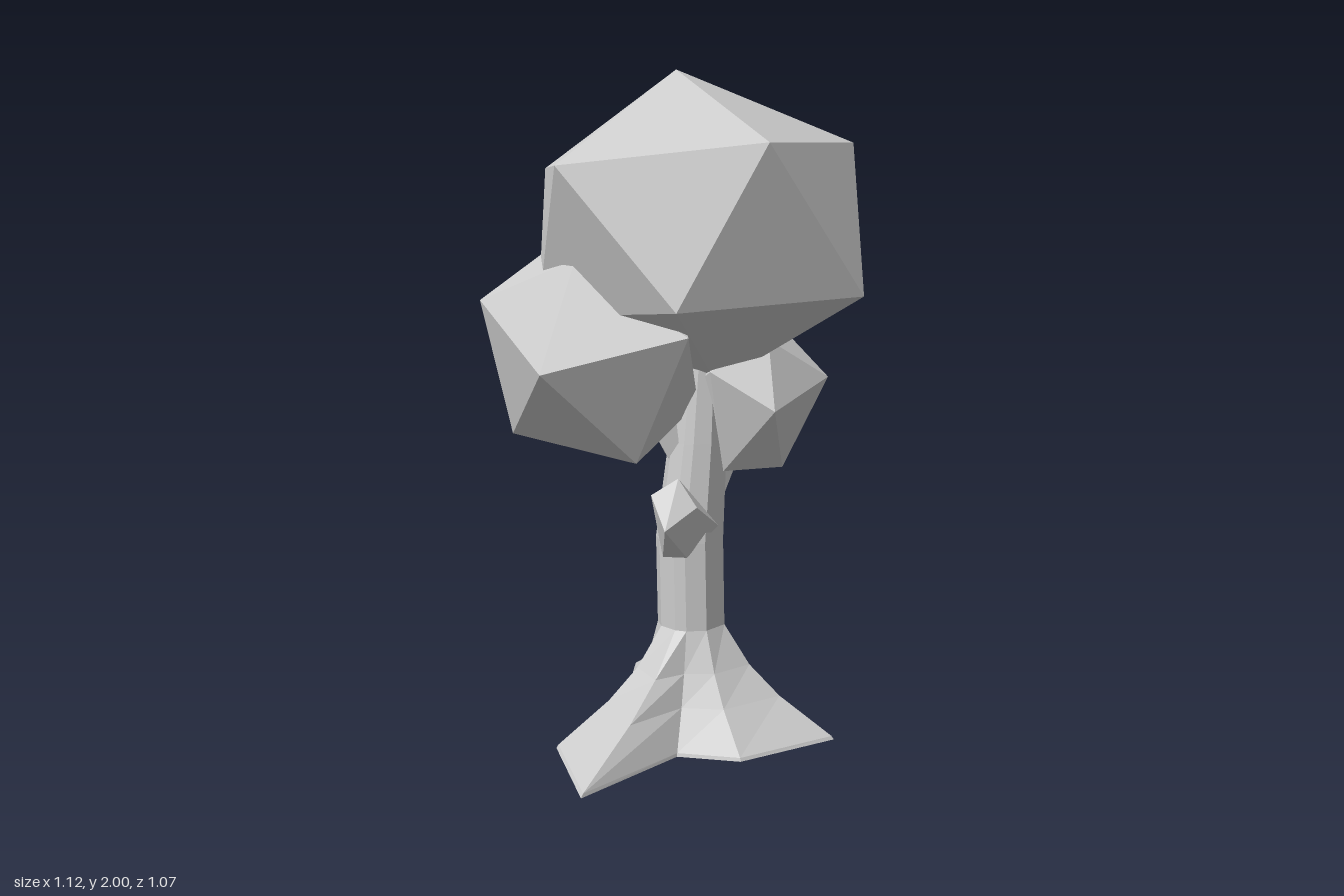
import * as THREE from 'three';
import { ConvexGeometry } from 'three/addons/geometries/ConvexGeometry.js';

const grey = new THREE.MeshStandardMaterial({ color: 0xcccccc });
grey.name = 'pale grey';

const V = (p) => new THREE.Vector3(...p);

function part(name, geometry) {
  const mesh = new THREE.Mesh(geometry, grey);
  mesh.name = name;
  return mesh;
}

// faceted solid around a list of corners
const solid = (points) => new ConvexGeometry(points.map(V));

// twenty-sided foliage ball: six corners, mirrored through the centre
function ball(center, half) {
  const mirrored = half.map((p) => p.map((v, i) => 2 * center[i] - v));
  return solid([...half, ...mirrored]);
}

// trunk lofted from a star-shaped root outline up to a slim column
function trunkGeometry() {
  const roots = [
    [0.48, 0.21], [0.17, 0.34], [-0.01, 0.28], [-0.31, 0.53], [-0.36, 0.17],
    [-0.155, -0.02], [-0.05, -0.535], [0.13, -0.35], [0.155, -0.085],
  ];
  // height, centre x, centre z, radius, share of root spread
  const levels = [
    [0, 0.07, 0.02, 0.11, 1], [0.01, 0.07, 0.02, 0.11, 0.98],
    [0.12, 0.07, 0.02, 0.11, 0.5], [0.21, 0.07, 0.02, 0.11, 0.22],
    [0.33, 0.07, 0.02, 0.105, 0], [0.6, 0.065, 0.015, 0.105, 0],
    [0.9, 0.09, 0.01, 0.09, 0], [1.25, 0.11, 0, 0.07, 0],
  ];
  const rings = levels.map(([y, cx, cz, r, t]) => roots.map(([x, z]) => {
    const a = Math.atan2(z - 0.02, x - 0.07);
    const px = cx + r * Math.cos(a), pz = cz + r * Math.sin(a);
    return [px + (x - px) * t, y, pz + (z - pz) * t];
  }));
  const out = [];
  const n = roots.length;
  for (let j = 0; j < n; j++) {
    const k = (j + 1) % n;
    for (let i = 0; i < rings.length - 1; i++) {
      const a = rings[i][j], b = rings[i][k], c = rings[i + 1][j], d = rings[i + 1][k];
      out.push(...a, ...c, ...b, ...b, ...c, ...d);
    }
    // underside
    out.push(0.07, 0, 0.02, ...rings[0][j], ...rings[0][k]);
  }
  const g = new THREE.BufferGeometry();
  g.setAttribute('position', new THREE.Float32BufferAttribute(out, 3));
  g.computeVertexNormals();
  return g;
}

// tapered branch between two points
function branch(from, to, r0, r1) {
  const a = V(from), b = V(to), dir = b.clone().sub(a);
  let g = new THREE.CylinderGeometry(r1, r0, dir.length(), 6);
  g.applyQuaternion(new THREE.Quaternion().setFromUnitVectors(new THREE.Vector3(0, 1, 0), dir.normalize()));
  g.translate(...a.add(b).multiplyScalar(0.5).toArray());
  g = g.toNonIndexed();
  g.computeVertexNormals();
  return g;
}

export function createModel() {
  const tree = new THREE.Group();
  tree.name = 'tree';

  tree.add(part('trunkAndRoots', trunkGeometry()));

  // cut-off limb on the front of the trunk
  tree.add(part('branchStub', solid([
    [-0.07, 0.76, 0.14], [0.01, 0.81, 0.15], [0.06, 0.73, 0.19], [-0.04, 0.67, 0.23],
    [-0.03, 0.56, 0.1], [0.04, 0.56, 0.12], [0.14, 0.65, 0.09], [0, 0.74, 0.07],
  ])));

  // limbs reaching into the foliage
  tree.add(part('leftLimb', branch([0.07, 0.82, 0.01], [-0.08, 1.08, 0], 0.06, 0.05)));
  tree.add(part('rightLimb', branch([0.11, 0.72, -0.01], [0.24, 1.0, -0.06], 0.06, 0.05)));

  tree.add(part('crownFoliage', ball([0.085, 1.535, -0.005], [
    [0.025, 2.0, -0.02], [0.56, 1.79, -0.01], [0.21, 1.78, 0.47],
    [-0.35, 1.72, 0.29], [-0.35, 1.715, -0.31], [0.21, 1.74, -0.49],
  ])));

  tree.add(part('smallFoliage', ball([0.26, 1.03, -0.09], [
    [0.5, 1.08, -0.03], [0.29, 1.01, 0.19], [0.36, 0.8, -0.03],
    [0.41, 0.94, -0.29], [0.36, 1.25, -0.24], [0.29, 1.21, 0.08],
  ])));

  tree.add(part('middleFoliage', solid([
    [-0.56, 1.33, -0.01], [-0.29, 1.46, 0.2], [-0.35, 1.47, -0.17], [-0.4, 1.15, 0.335],
    [-0.375, 1.13, -0.345], [-0.47, 0.93, 0], [0.01, 1.25, 0.36], [-0.12, 0.87, 0.21],
    [-0.17, 0.87, -0.19], [0.09, 1.01, 0], [-0.01, 1.2, -0.33], [0, 1.41, 0],
  ])));

  return tree;
}
